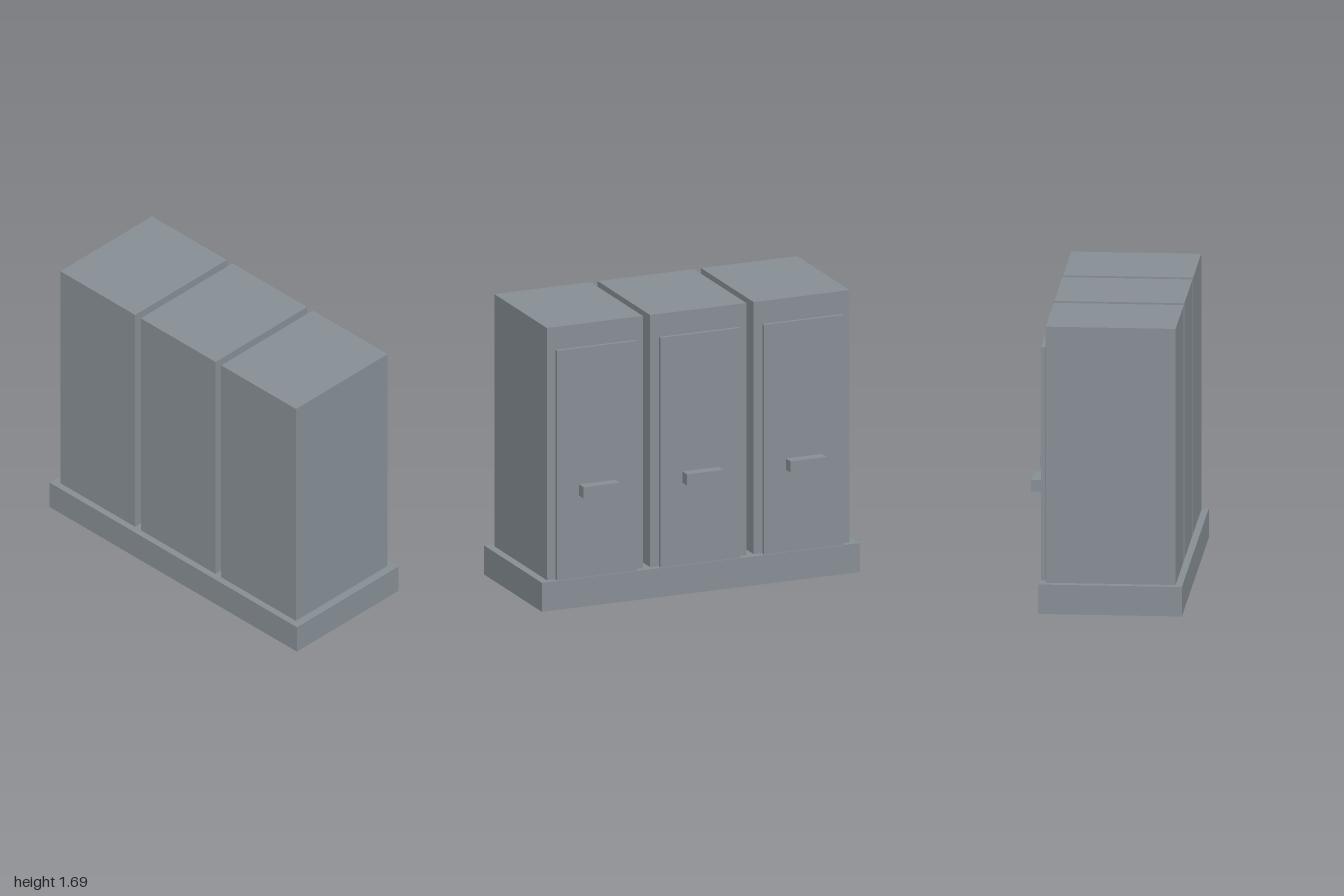
import * as THREE from 'three';

export function createModel() {
  const group = new THREE.Group();
  const grey = new THREE.MeshStandardMaterial({ color: 0x868e94 });
  grey.name = 'cabinet grey';

  // Box given by its min and max corners
  function box(name, parent, [x0, y0, z0], [x1, y1, z1]) {
    const geometry = new THREE.BoxGeometry(x1 - x0, y1 - y0, z1 - z0);
    const mesh = new THREE.Mesh(geometry, grey);
    mesh.position.set((x0 + x1) / 2, (y0 + y1) / 2, (z0 + z1) / 2);
    mesh.name = name;
    parent.add(mesh);
  }

  // Plinth
  box('base', group, [-1, 0, -0.386], [1, 0.174, 0.444]);

  // Three identical cabinets, each with a door and handle on the back
  for (const x of [-0.65, 0, 0.65]) {
    const cabinet = new THREE.Group();
    cabinet.name = 'cabinet';
    cabinet.position.x = x;
    box('body', cabinet, [-0.302, 0.174, -0.346], [0.302, 1.687, 0.404]);
    box('door', cabinet, [-0.25, 0.174, -0.377], [0.25, 1.552, -0.353]);
    box('handle', cabinet, [-0.113, 0.667, -0.444], [0.113, 0.735, -0.377]);
    group.add(cabinet);
  }

  return group;
}
